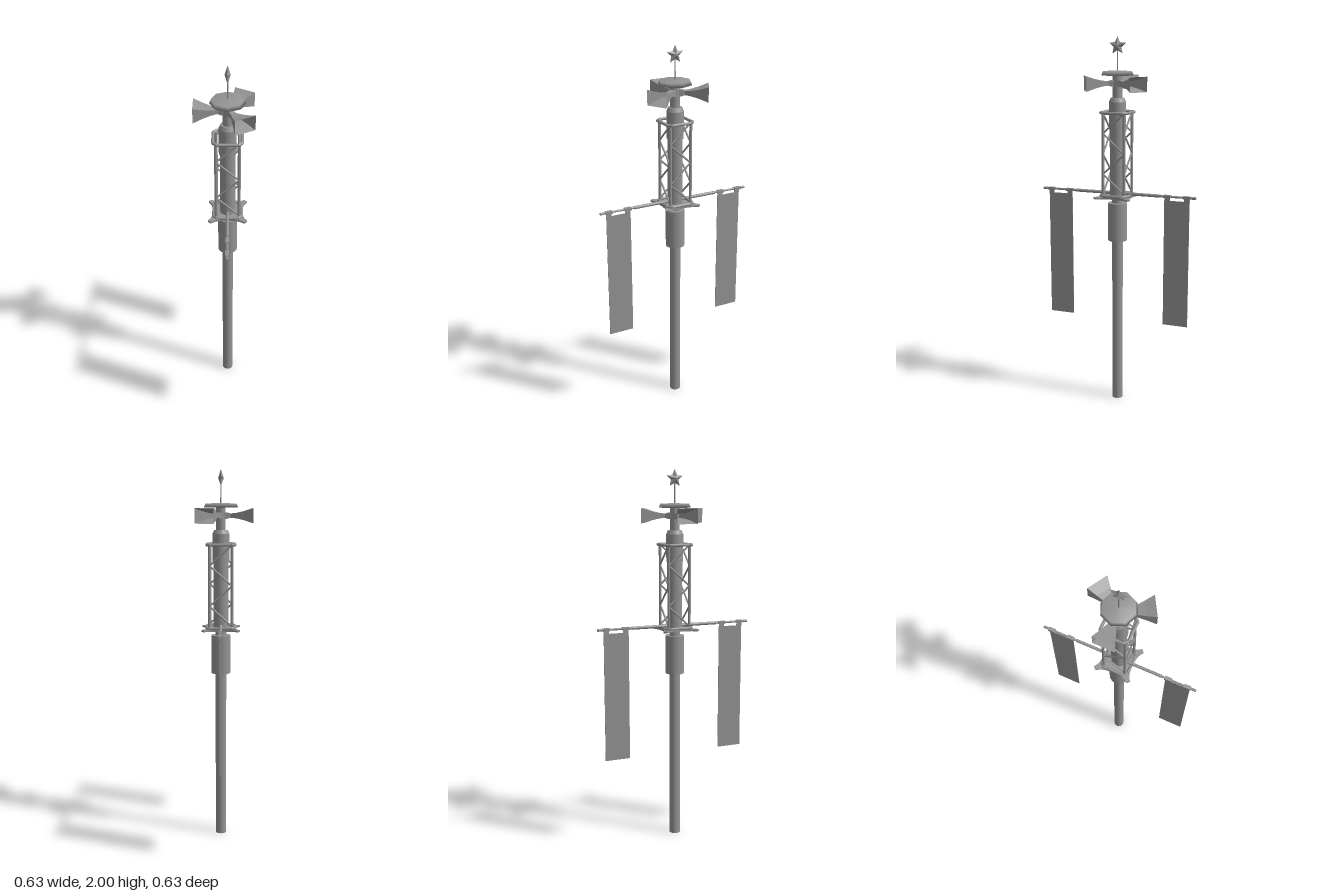
import * as THREE from 'three';

const paint = new THREE.MeshStandardMaterial({ color: 0x949494, side: THREE.DoubleSide });
const flat = new THREE.MeshStandardMaterial({ color: 0x949494, side: THREE.DoubleSide, flatShading: true });

function add(parent, name, geometry, material = paint) {
  const mesh = new THREE.Mesh(geometry, material);
  mesh.name = name;
  parent.add(mesh);
  return mesh;
}

// Upright cylinder between two heights
function column(parent, name, rTop, rBottom, y0, y1, sides = 16) {
  const mesh = add(parent, name, new THREE.CylinderGeometry(rTop, rBottom, y1 - y0, sides));
  mesh.position.y = (y0 + y1) / 2;
  return mesh;
}

// Round rod between two points
function rod(parent, name, a, b, r, sides = 8) {
  const dir = b.clone().sub(a);
  const mesh = add(parent, name, new THREE.CylinderGeometry(r, r, dir.length(), sides));
  mesh.position.copy(a).add(b).multiplyScalar(0.5);
  mesh.quaternion.setFromUnitVectors(new THREE.Vector3(0, 1, 0), dir.normalize());
  return mesh;
}

function indexedGeometry(pos, index) {
  const g = new THREE.BufferGeometry();
  g.setAttribute('position', new THREE.Float32BufferAttribute(pos, 3));
  g.setIndex(index);
  g.computeVertexNormals();
  return g;
}

// Surface through rectangular sections [x, halfHeight, halfWidth] along x
function rectLoft(sections) {
  const pos = [], index = [];
  for (const [x, h, w] of sections) pos.push(x, -h, -w, x, -h, w, x, h, w, x, h, -w);
  for (let i = 0; i < sections.length - 1; i++) {
    for (let k = 0; k < 4; k++) {
      const a = i * 4 + k, b = i * 4 + (k + 1) % 4;
      index.push(a, a + 4, b, b, a + 4, b + 4);
    }
  }
  index.push(0, 1, 2, 0, 2, 3); // closed rear end
  return indexedGeometry(pos, index);
}

// Five-pointed star with raised centres on both faces
function starGeometry(outer, inner, depth) {
  const pos = [], index = [];
  for (let i = 0; i < 10; i++) {
    const a = Math.PI / 2 + i * Math.PI / 5, r = i % 2 ? inner : outer;
    pos.push(r * Math.cos(a), r * Math.sin(a), 0);
    index.push(10, i, (i + 1) % 10, 11, (i + 1) % 10, i);
  }
  pos.push(0, 0, depth, 0, 0, -depth);
  return indexedGeometry(pos, index);
}

// Square bracket plate with four tapering feet
function platePart(parent) {
  const shape = new THREE.Shape();
  const foot = [[0.055, -0.055], [0.085, -0.03], [0.105, -0.017], [0.135, -0.01],
    [0.135, 0.01], [0.105, 0.017], [0.085, 0.03]];
  const pts = [];
  for (let i = 0; i < 4; i++) {
    for (const [x, y] of foot) {
      pts.push(new THREE.Vector2(x, y).rotateAround(new THREE.Vector2(), i * Math.PI / 2));
    }
  }
  shape.setFromPoints(pts);
  const hole = new THREE.Path();
  hole.absarc(0, 0, 0.035, 0, Math.PI * 2, true);
  shape.holes.push(hole);
  const g = new THREE.ExtrudeGeometry(shape, { depth: 0.01, bevelEnabled: false, curveSegments: 8 });
  g.rotateX(-Math.PI / 2);
  add(parent, 'bracketPlate', g).position.y = 1.155;
}

// Lattice cage with a post on each axis
function cagePart(parent) {
  const cage = new THREE.Group();
  cage.name = 'latticeCage';
  parent.add(cage);
  const post = (i, y, r = 0.084) =>
    new THREE.Vector3(r * Math.cos(i * Math.PI / 2), y, r * Math.sin(i * Math.PI / 2));
  const y0 = 1.18, y1 = 1.61, steps = 4, dy = (y1 - y0) / steps;
  for (let i = 0; i < 4; i++) {
    rod(cage, 'cagePost', post(i, y0 - 0.015), post(i, y1), 0.008);
    for (let s = 0; s < steps; s++) {
      rod(cage, 'cageBrace', post(i + s % 2, y0 + s * dy), post(i + 1 - s % 2, y0 + (s + 1) * dy), 0.005, 6);
    }
    // Frames with clipped corners at top and bottom
    for (const y of [y0 - 0.01, y1]) {
      const side = i * Math.PI / 2;
      const corner = (x, z) => new THREE.Vector3(x, y, z).applyAxisAngle(new THREE.Vector3(0, 1, 0), side);
      rod(cage, 'frameSide', corner(0.09, 0.014), corner(0.014, 0.09), 0.008);
      rod(cage, 'frameCorner', corner(0.09, -0.016), corner(0.09, 0.016), 0.008);
    }
  }
}

// Crossbar along local x, with clips and hanging banners
function bannersPart(parent) {
  const bar = new THREE.Group();
  bar.name = 'bannerCrossbar';
  bar.position.y = 1.178;
  bar.rotation.y = Math.PI / 4;
  parent.add(bar);
  const at = (x) => new THREE.Vector3(x, 0, 0);
  rod(bar, 'barCentre', at(-0.245), at(0.245), 0.0085, 10);
  for (const s of [-1, 1]) {
    rod(bar, 'barEnd', at(s * 0.24), at(s * 0.425), 0.006);
    rod(bar, 'barTip', at(s * 0.415), at(s * 0.436), 0.0075);
    for (const x of [0.28, 0.388]) {
      const sleeve = add(bar, 'clipSleeve', new THREE.BoxGeometry(0.038, 0.015, 0.02));
      sleeve.position.x = s * x;
      const strap = add(bar, 'clipStrap', new THREE.BoxGeometry(0.03, 0.026, 0.004));
      strap.position.set(s * x, -0.016, 0);
    }
    const cloth = add(bar, 'banner', new THREE.BoxGeometry(0.138, 0.69, 0.003));
    cloth.position.set(s * 0.333, -0.367, 0);
  }
}

// Three horn loudspeakers around the mast
function hornsPart(parent) {
  for (let i = 0; i < 3; i++) {
    const horn = new THREE.Group();
    horn.name = 'hornSpeaker';
    horn.position.y = 1.76;
    horn.rotation.y = THREE.MathUtils.degToRad(15 + i * 120);
    parent.add(horn);
    add(horn, 'hornFlare', rectLoft([[0.02, 0.017, 0.017], [0.035, 0.016, 0.015], [0.05, 0.011, 0.013],
      [0.08, 0.014, 0.024], [0.12, 0.023, 0.038], [0.17, 0.039, 0.057]]), flat);
  }
}

export function createModel() {
  const model = new THREE.Group();
  model.name = 'loudspeakerPole';

  // Pole and its sleeves
  column(model, 'pole', 0.029, 0.029, 0, 1.2);
  column(model, 'collar', 0.051, 0.051, 0.917, 1.125);
  column(model, 'core', 0.04, 0.04, 1.165, 1.53);
  column(model, 'upperSleeve', 0.045, 0.045, 1.52, 1.665);
  column(model, 'sleeveShoulder', 0.036, 0.045, 1.665, 1.685);
  column(model, 'mast', 0.025, 0.025, 1.68, 1.805);

  platePart(model);
  cagePart(model);
  bannersPart(model);
  hornsPart(model);

  // Eight-sided cap
  const cap = [[0, 1.8], [0.09, 1.802], [0.082, 1.822], [0, 1.826]];
  add(model, 'cap', new THREE.LatheGeometry(cap.map(([x, y]) => new THREE.Vector2(x, y)), 8));

  // Finial
  column(model, 'finialRod', 0.003, 0.004, 1.82, 1.935, 8);
  const star = add(model, 'finialStar', starGeometry(0.048, 0.023, 0.015), flat);
  star.position.y = 1.952;
  star.rotation.y = Math.PI / 4;
  return model;
}
